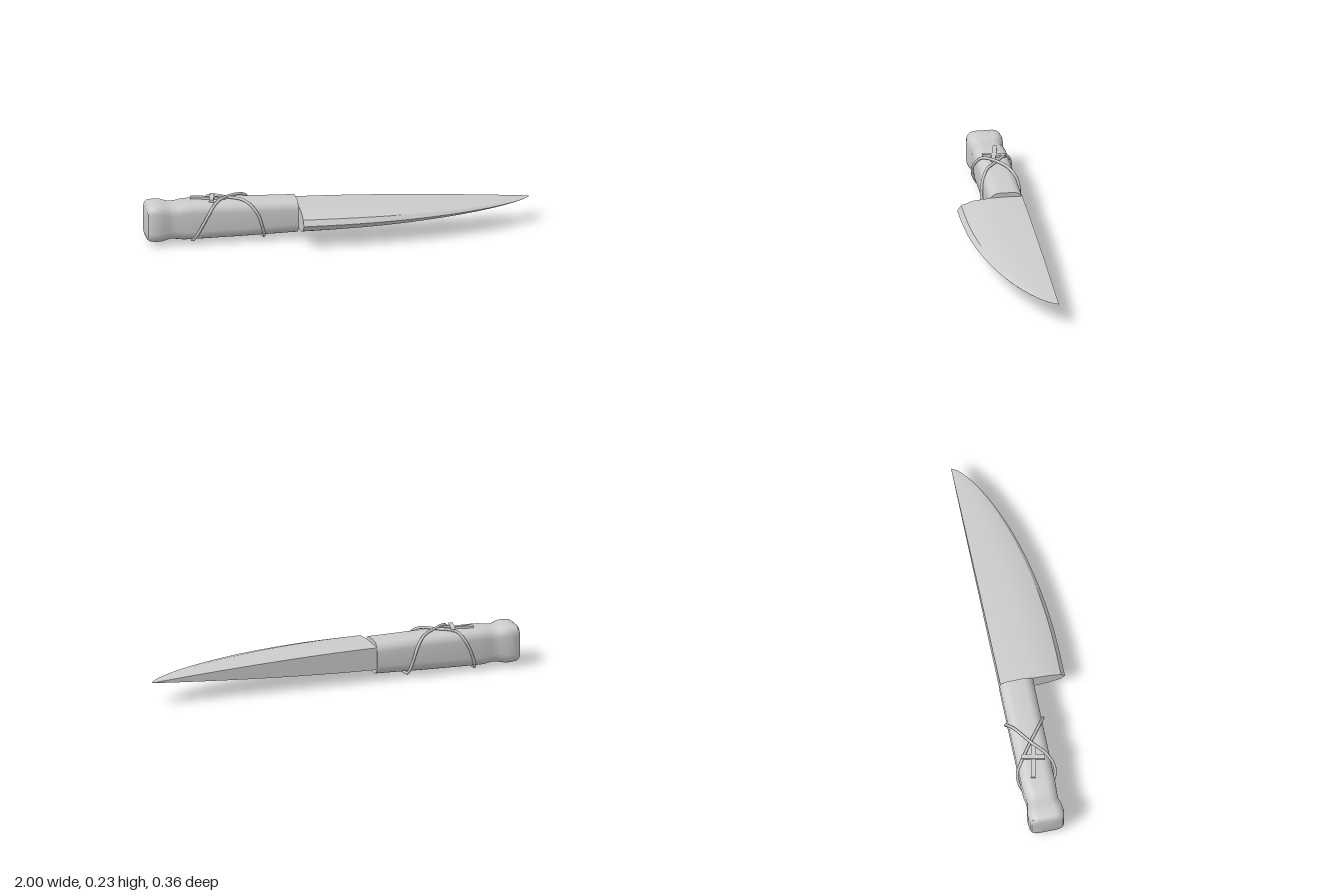
import * as THREE from 'three';
import { toCreasedNormals } from 'three/addons/utils/BufferGeometryUtils.js';

const material = new THREE.MeshStandardMaterial({ color: 0xcccccc });

function addPart(parent, name, geometry) {
  const mesh = new THREE.Mesh(geometry, material);
  mesh.name = name;
  parent.add(mesh);
  return mesh;
}

// Skin a row of equal-length rings running along +x and close both ends
function loft(rings, crease) {
  const n = rings[0].length, pos = [], index = [];
  for (const ring of rings) for (const p of ring) pos.push(...p);
  for (let i = 0; i < rings.length - 1; i++) {
    for (let j = 0; j < n; j++) {
      const a = i * n + j, b = i * n + (j + 1) % n;
      index.push(a, b, a + n, b, b + n, a + n);
    }
  }
  for (const end of [0, rings.length - 1]) {
    const centre = pos.length / 3;
    const sum = rings[end].reduce((s, p) => [s[0] + p[0], s[1] + p[1], s[2] + p[2]], [0, 0, 0]);
    pos.push(...sum.map((v) => v / n));
    for (let j = 0; j < n; j++) {
      const a = end * n + j, b = end * n + (j + 1) % n;
      if (end === 0) index.push(centre, b, a);
      else index.push(centre, a, b);
    }
  }
  const geometry = new THREE.BufferGeometry();
  geometry.setAttribute('position', new THREE.Float32BufferAttribute(pos, 3));
  geometry.setIndex(index);
  return toCreasedNormals(geometry, crease);
}

// Rounded rectangle across the handle at x
function roundedRing(x, y0, y1, z0, z1, r) {
  const ring = [], steps = 6;
  const sz = [1, 1, -1, -1], sy = [1, -1, -1, 1];
  const cy = (y0 + y1) / 2, cz = (z0 + z1) / 2;
  const hy = (y1 - y0) / 2 - r, hz = (z1 - z0) / 2 - r;
  for (let k = 0; k < 4; k++) {
    for (let s = 0; s <= steps; s++) {
      const a = (k + s / steps) * Math.PI / 2;
      ring.push([x, cy + sy[k] * hy + r * Math.cos(a), cz + sz[k] * hz + r * Math.sin(a)]);
    }
  }
  return ring;
}

// Blade cross-section: flat spine at the back, bevel to a sharp front edge
function bladeRing(t) {
  const x = -0.22 + 1.22 * t;
  const u = Math.max(0, (x + 0.1) / 1.1);
  const width = 0.335 * Math.pow(Math.max(0, 1 - u * u), 0.7) + 0.002;
  const half = 0.06 * (1 - Math.pow(t, 1.6)) + 0.0005;
  const side = [[0, 0.97], [0.25, 1], [0.5, 0.97], [0.75, 0.84], [0.94, 0.48]];
  const at = (f, h) => [x, 0.121 + h * half, -0.16 + f * width];
  return [
    ...side.map(([f, h]) => at(f, h)),
    at(1, 0),
    ...side.slice().reverse().map(([f, h]) => at(f, -h)),
  ];
}

export function createModel() {
  const model = new THREE.Group();
  model.name = 'knife';

  // Blade, with rings packed closer near the tip
  const bladeRings = [];
  const count = 26;
  for (let i = 0; i <= count; i++) bladeRings.push(bladeRing(Math.sin((i / count) * Math.PI / 2)));
  addPart(model, 'blade', loft(bladeRings, 0.25));

  // Handle with swollen pommel and narrow neck: x, y range, z range, corner radius
  const handle = [
    [-1.0, 0.04, 0.19, -0.145, -0.01, 0.03],
    [-0.996, 0.028, 0.203, -0.158, 0.004, 0.04],
    [-0.985, 0.02, 0.212, -0.166, 0.012, 0.045],
    [-0.95, 0.015, 0.217, -0.17, 0.017, 0.05],
    [-0.92, 0.016, 0.215, -0.168, 0.015, 0.05],
    [-0.89, 0.022, 0.207, -0.16, 0.006, 0.05],
    [-0.87, 0.024, 0.204, -0.157, 0.003, 0.05],
    [-0.84, 0.022, 0.207, -0.158, 0.004, 0.05],
    [-0.81, 0.018, 0.212, -0.163, 0.006, 0.05],
    [-0.77, 0.018, 0.213, -0.165, 0.007, 0.05],
    [-0.5, 0.023, 0.21, -0.165, 0.009, 0.05],
    [-0.22, 0.031, 0.204, -0.164, 0.011, 0.05],
  ];
  addPart(model, 'handle', loft(handle.map((row) => roundedRing(...row)), 0.6));

  // Cord wound round the handle, crossing itself on top
  const cordPath = [
    [-0.575, 0.226, -0.075], [-0.64, 0.215, -0.015], [-0.69, 0.155, 0.02], [-0.73, 0.08, 0.016],
    [-0.757, 0.02, -0.02], [-0.76, 0.009, -0.08], [-0.755, 0.02, -0.145], [-0.735, 0.08, -0.17],
    [-0.7, 0.16, -0.172], [-0.66, 0.213, -0.142], [-0.575, 0.22, -0.08], [-0.49, 0.213, -0.015],
    [-0.435, 0.155, 0.016], [-0.408, 0.08, 0.016], [-0.393, 0.025, -0.02], [-0.393, 0.012, -0.08],
    [-0.395, 0.025, -0.145], [-0.408, 0.08, -0.171], [-0.435, 0.16, -0.172], [-0.48, 0.211, -0.142],
  ].map((p) => new THREE.Vector3(...p));
  const cord = new THREE.CatmullRomCurve3(cordPath, true);
  addPart(model, 'cord', new THREE.TubeGeometry(cord, 160, 0.0075, 8, true));

  // Small crossed bars lying on top of the handle
  const charm = new THREE.Group();
  charm.name = 'crossCharm';
  charm.position.set(-0.655, 0.22, -0.08);
  charm.rotation.y = -0.21;
  addPart(charm, 'longBar', new THREE.BoxGeometry(0.18, 0.012, 0.022)).position.x = -0.02;
  addPart(charm, 'shortBar', new THREE.BoxGeometry(0.022, 0.014, 0.12));
  model.add(charm);

  return model;
}
